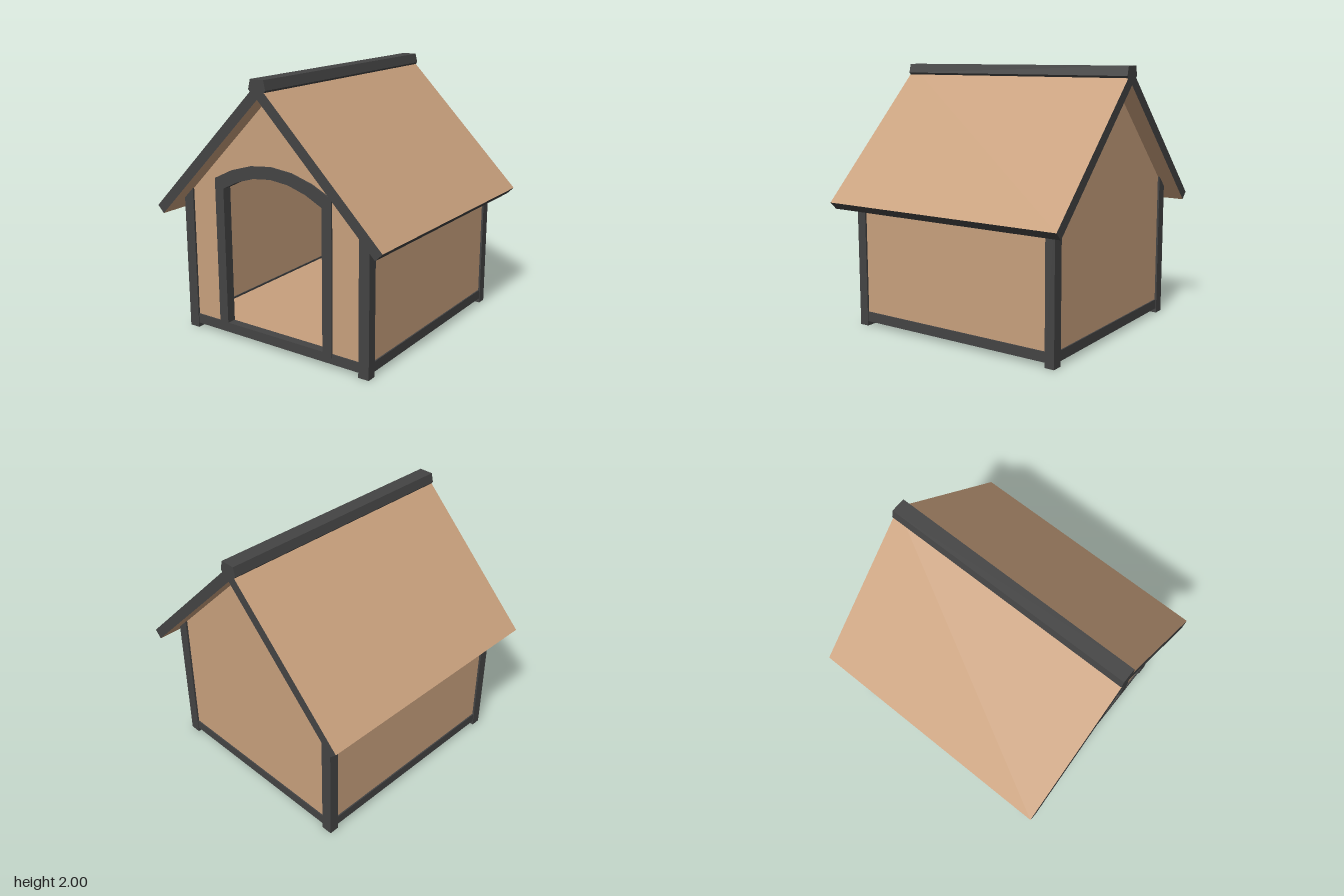
import * as THREE from 'three';

export function createModel() {
  const model = new THREE.Group();
  model.name = 'kennel';
  const wood = new THREE.MeshStandardMaterial({ color: 0xc8a07d });
  wood.name = 'tan wood';
  const trim = new THREE.MeshStandardMaterial({ color: 0x444444 });
  trim.name = 'charcoal trim';

  const add = (name, geometry, material) => {
    const mesh = new THREE.Mesh(geometry, material);
    mesh.name = name;
    model.add(mesh);
    return mesh;
  };
  // Box given by its lower and upper corners
  const box = (name, a, b, material) =>
    add(name, new THREE.BoxGeometry(b[0] - a[0], b[1] - a[1], b[2] - a[2]), material)
      .position.set((a[0] + b[0]) / 2, (a[1] + b[1]) / 2, (a[2] + b[2]) / 2);
  const toShape = (pts) => new THREE.Shape(pts.map(([x, y]) => new THREE.Vector2(x, y)));
  // Front outline pushed from z0 to z1
  const slab = (name, shape, z0, z1, material) => {
    const geometry = new THREE.ExtrudeGeometry(shape, { depth: z1 - z0, bevelEnabled: false });
    geometry.translate(0, 0, z0);
    return add(name, geometry, material);
  };

  // Tops of walls and posts end just inside the sloping roof
  const underRoof = (x) => 1.88 - Math.abs(x);
  // Upright whose top follows the slope
  const upright = (s, x0, x1, y0) => toShape([
    [s * x0, y0], [s * x1, y0], [s * x1, underRoof(x1)], [s * x0, underRoof(x0)],
  ]);

  // Doorway outline: straight sides with a shallow six-sided arch
  const doorway = (halfWidth, base, spring, crown) => {
    const pts = [[halfWidth, base]];
    for (let i = 3; i >= -3; i--) {
      const f = Math.sin(i * 0.2) / Math.sin(0.6);
      pts.push([halfWidth * f, crown - (crown - spring) * f * f]);
    }
    pts.push([-halfWidth, base]);
    return pts;
  };

  // Gable walls, the front one cut for the doorway
  const gable = () => toShape([
    [-0.77, 0.06], [0.77, 0.06], [0.77, underRoof(0.77)], [0, underRoof(0)], [-0.77, underRoof(0.77)],
  ]);
  const front = gable();
  front.holes.push(new THREE.Path(toShape(doorway(0.48, 0.09, 1.195, 1.335)).getPoints()));
  slab('frontWall', front, 0.815, 0.87, wood);
  slab('backWall', gable(), -0.87, -0.815, wood);

  // Door frame as one arched band
  const band = [...doorway(0.52, 0.08, 1.23, 1.38), ...doorway(0.44, 0.08, 1.16, 1.29).reverse()];
  slab('doorFrame', toShape(band), 0.808, 0.882, trim);

  // Floor
  box('floor', [-0.77, 0.05, -0.83], [0.77, 0.095, 0.83], wood);

  for (const s of [-1, 1]) {
    const side = s > 0 ? 'left' : 'right';
    // Side wall, corner posts and bottom rails
    slab(side + 'Wall', upright(s, 0.757, 0.815, 0.06), -0.84, 0.84, wood);
    for (const [end, z0, z1] of [['Front', 0.81, 0.885], ['Back', -0.885, -0.81]]) {
      slab(side + end + 'Post', upright(s, 0.745, 0.83, 0), z0, z1, trim);
    }
    box(side + 'Rail', [s * 0.787 - 0.038, 0.035, -0.82], [s * 0.787 + 0.038, 0.11, 0.82], trim);
    box(s > 0 ? 'frontRail' : 'backRail',
      [-0.76, 0.035, s * 0.846 - 0.034], [0.76, 0.11, s * 0.846 + 0.034], trim);

    // Roof panel: wooden faces with dark edges
    const length = Math.SQRT2, thick = 0.078;
    const geometry = new THREE.BoxGeometry(length - 0.01, thick, 2);
    geometry.translate(s * (length / 2 + 0.005), -thick / 2, 0);
    const panel = add(side + 'RoofPanel', geometry, [trim, trim, wood, wood, trim, trim]);
    panel.position.y = 1.975;
    panel.rotation.z = -s * Math.PI / 4;
  }

  // Ridge cap
  slab('ridgeCap', toShape([
    [-0.03, 1.9], [0.03, 1.9], [0.06, 1.914], [0.074, 1.93], [0.057, 2], [-0.057, 2], [-0.074, 1.93], [-0.06, 1.914],
  ]), -1, 1, trim);

  return model;
}
